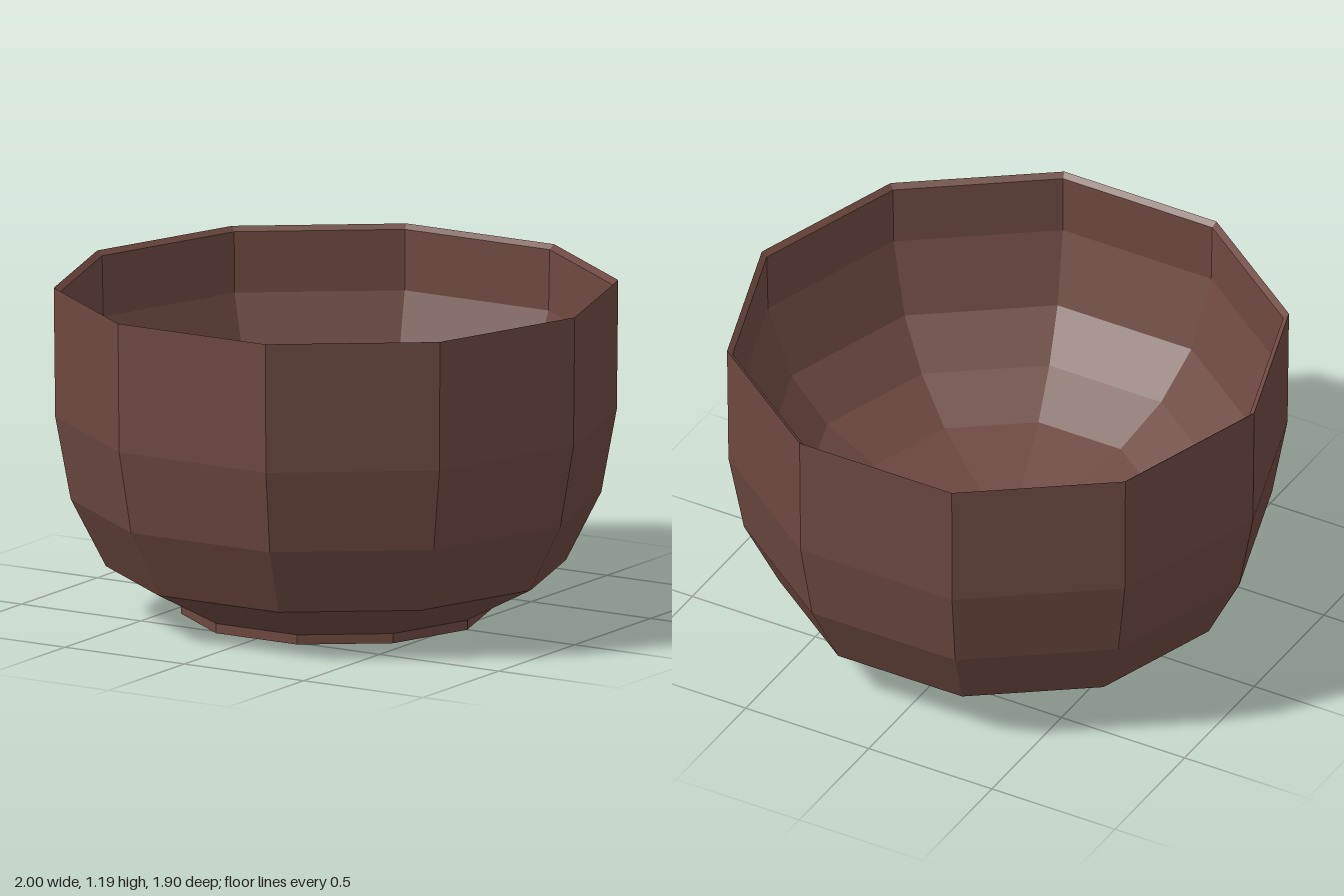
import * as THREE from 'three';

const SIDES = 10;

export function createModel() {
  const group = new THREE.Group();
  group.name = 'bowl';
  const material = new THREE.MeshStandardMaterial({ color: 0x6d4840, flatShading: true });

  // Spin a [radius, height] profile into a ten-sided part with corners on the x axis
  const addLathe = (name, profile) => {
    const points = profile.map(([r, y]) => new THREE.Vector2(r, y));
    const mesh = new THREE.Mesh(new THREE.LatheGeometry(points, SIDES, Math.PI / 2), material);
    mesh.name = name;
    group.add(mesh);
  };

  // Foot ring around a recessed base
  addLathe('foot', [[0, 0.03], [0.51, 0.03], [0.51, 0], [0.55, 0], [0.55, 0.035]]);

  // Outer wall, from the foot to the rim
  addLathe('outerWall', [[0.55, 0.035], [0.815, 0.175], [0.94, 0.42], [0.995, 0.72], [1, 1.187]]);

  // Narrow rim, sloping slightly inward
  addLathe('rim', [[1, 1.187], [0.98, 1.17]]);

  // Inner wall, from the rim down to the flat floor
  addLathe('innerWall', [
    [0.98, 1.17], [0.975, 0.95], [0.88, 0.69], [0.735, 0.53], [0.54, 0.42], [0.2, 0.34], [0, 0.34],
  ]);

  return group;
}
